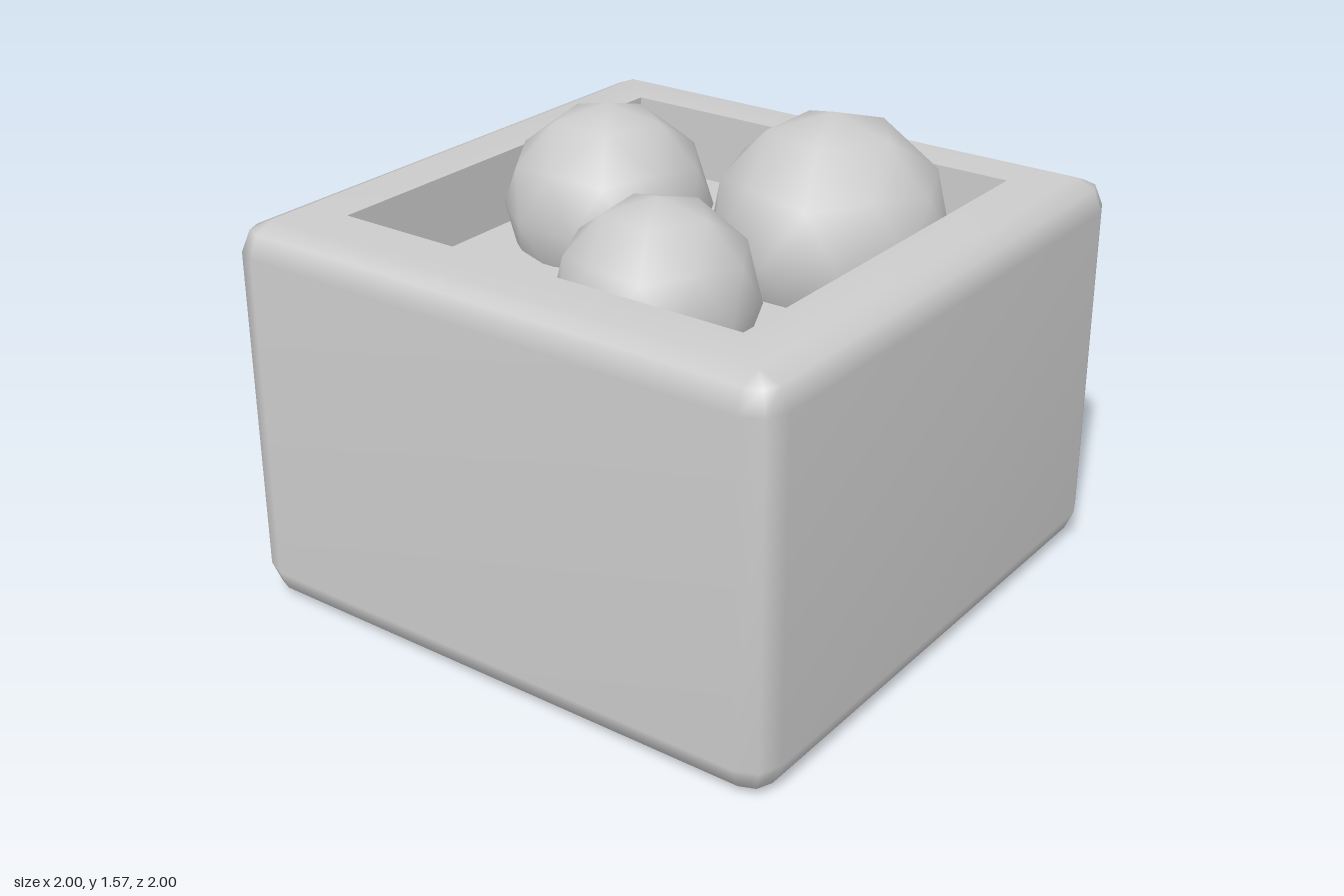
import * as THREE from 'three';
import { mergeVertices } from 'three/addons/utils/BufferGeometryUtils.js';

const HEIGHT = 1.3, ROUND = 0.1, OPENING = 0.74, FLOOR = 1.05;

// Square cross-section with 3-point rounded corners, counter-clockwise from above
function ring(y, core, radius) {
  const points = [];
  for (let corner = 0; corner < 4; corner++) {
    const mid = Math.PI / 4 + corner * Math.PI / 2;
    for (let j = -1; j <= 1; j++) {
      const a = mid + j * Math.PI / 4;
      points.push([
        Math.sign(Math.cos(mid)) * core + radius * Math.cos(a), y,
        -(Math.sign(Math.sin(mid)) * core + radius * Math.sin(a)),
      ]);
    }
  }
  return points;
}

// Skin a stack of cross-sections
function loft(rings) {
  const n = rings[0].length, index = [];
  for (let i = 0; i < rings.length - 1; i++) {
    for (let j = 0; j < n; j++) {
      const a = i * n + j, b = i * n + (j + 1) % n;
      index.push(a, b, b + n, a, b + n, a + n);
    }
  }
  const geometry = new THREE.BufferGeometry();
  geometry.setAttribute('position', new THREE.Float32BufferAttribute(rings.flat(2), 3));
  geometry.setIndex(index);
  return geometry;
}

export function createModel() {
  const model = new THREE.Group();
  const material = new THREE.MeshStandardMaterial({ color: 0xcccccc });
  const add = (name, geometry) => {
    const mesh = new THREE.Mesh(geometry, material);
    mesh.name = name;
    model.add(mesh);
    return mesh;
  };

  // Outer shell: bottom, rounded edges, sides and top rim
  const core = 1 - ROUND, d = ROUND * Math.SQRT1_2;
  const shell = mergeVertices(loft([
    ring(0, 0, 0),
    ring(0, core, 0),
    ring(ROUND - d, core, d),
    ring(ROUND, core, ROUND),
    ring(HEIGHT - ROUND, core, ROUND),
    ring(HEIGHT - ROUND + d, core, d),
    ring(HEIGHT, core, 0),
    ring(HEIGHT, OPENING, 0),
  ]), 1e-4);
  shell.computeVertexNormals();
  add('boxShell', shell);

  // Square recess: flat walls and floor
  const recess = loft([
    ring(HEIGHT, OPENING, 0),
    ring(FLOOR, OPENING, 0),
    ring(FLOOR, 0, 0),
  ]).toNonIndexed();
  recess.computeVertexNormals();
  add('recess', recess);

  // Balls half sunk in the floor, one vertex of each pointing straight up
  const ball = new THREE.IcosahedronGeometry(1, 1);
  ball.rotateZ(-Math.atan(2 / (1 + Math.sqrt(5))));
  [
    ['leftBackBall', 0.36, 1.185, -0.29, 0.39, 0],
    ['rightBall', -0.38, 1.17, -0.095, 0.345, 0.3],
    ['frontBall', 0.2, 1.155, 0.405, 0.315, 1.4],
  ].forEach(([name, x, y, z, radius, turn]) => {
    const mesh = add(name, ball);
    mesh.position.set(x, y, z);
    mesh.scale.setScalar(radius);
    mesh.rotation.y = turn;
  });

  return model;
}
